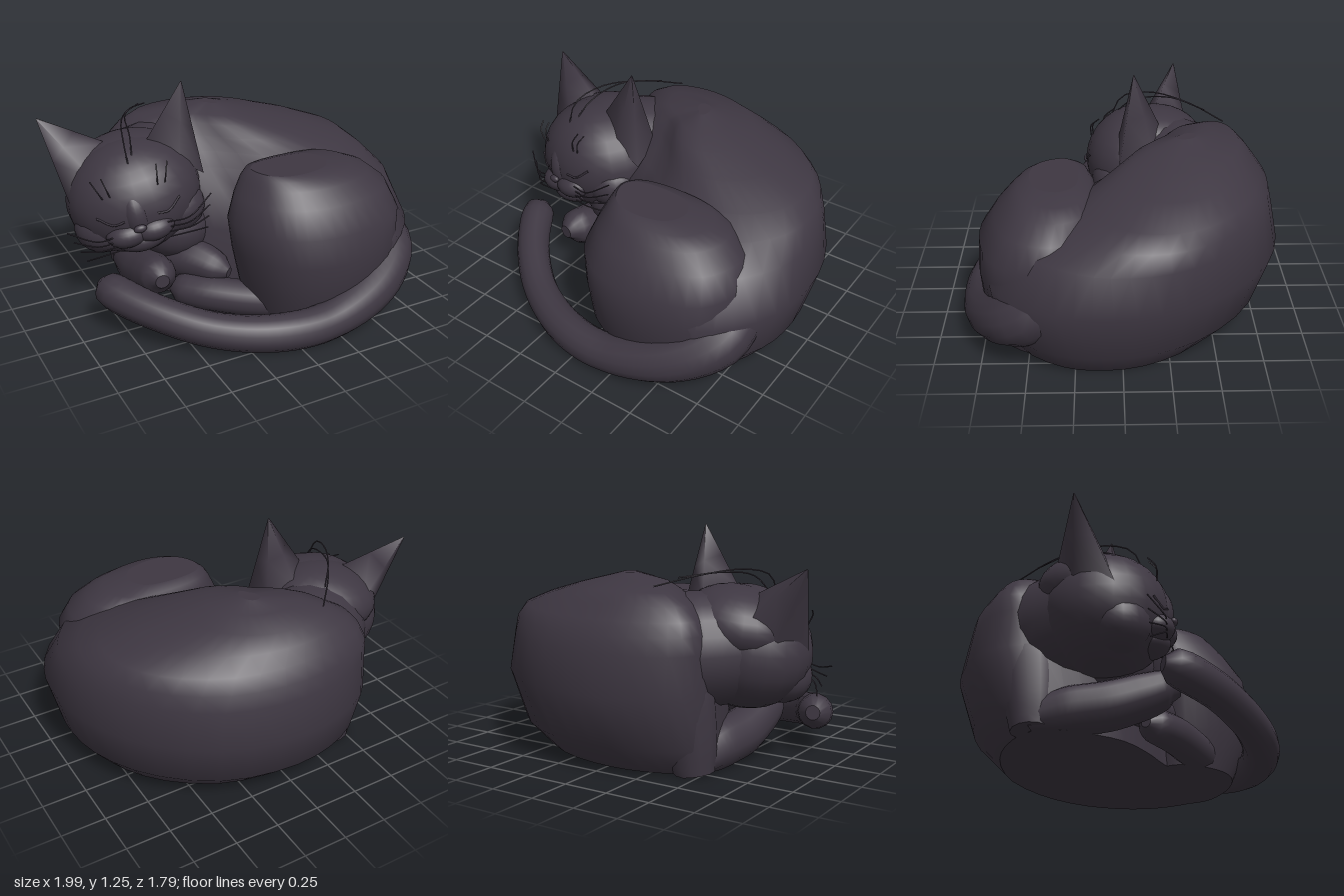
import * as THREE from 'three';

const V = (p) => new THREE.Vector3(p[0], p[1], p[2]);
const fur = new THREE.MeshStandardMaterial({ color: 0x3e3742 });
fur.name = 'dark fur';

// Closed skin over rings of points, with both ends capped
function skin(rings) {
  const n = rings[0].length, pos = [], idx = [];
  rings.forEach((r) => r.forEach((p) => pos.push(p.x, Math.max(p.y, 0), p.z)));
  for (let i = 0; i < rings.length - 1; i++) {
    for (let j = 0; j < n; j++) {
      const a = i * n + j, b = i * n + (j + 1) % n;
      idx.push(a, b, a + n, b, b + n, a + n);
    }
  }
  [0, rings.length - 1].forEach((k) => {
    // Caps keep their own corners so that their edges stay sharp
    const c = new THREE.Vector3(), start = pos.length / 3;
    rings[k].forEach((p) => {
      c.addScaledVector(p, 1 / n);
      pos.push(p.x, Math.max(p.y, 0), p.z);
    });
    pos.push(c.x, Math.max(c.y, 0), c.z);
    for (let j = 0; j < n; j++) {
      const a = start + j, b = start + (j + 1) % n;
      if (k === 0) idx.push(start + n, b, a); else idx.push(start + n, a, b);
    }
  });
  const g = new THREE.BufferGeometry();
  g.setAttribute('position', new THREE.Float32BufferAttribute(pos, 3));
  g.setIndex(idx);
  g.computeVertexNormals();
  return g;
}

// Stacks one [x, z] outline; each level is [y, minX, maxX, minZ, maxZ]
function loft(outline, levels) {
  const curve = new THREE.CatmullRomCurve3(outline.map(([x, z]) => new THREE.Vector3(x, 0, z)), true);
  const pts = curve.getPoints(40).slice(0, -1).reverse();
  const box = new THREE.Box3().setFromPoints(pts);
  const size = box.getSize(new THREE.Vector3());
  return skin(levels.map(([y, x0, x1, z0, z1]) => pts.map((p) => new THREE.Vector3(
    x0 + (x1 - x0) * (p.x - box.min.x) / size.x, y,
    z0 + (z1 - z0) * (p.z - box.min.z) / size.z))));
}

// Limb along points [x, y, z, radius]
function limb(points, steps = 30, sides = 14) {
  const curve = new THREE.CatmullRomCurve3(points.map(V));
  const f = curve.computeFrenetFrames(steps, false);
  const rings = [];
  for (let i = 0; i <= steps; i++) {
    const u = curve.getUtoTmapping(i / steps), c = curve.getPoint(u);
    const k = Math.min(Math.floor(u * (points.length - 1)), points.length - 2);
    const r = THREE.MathUtils.lerp(points[k][3], points[k + 1][3], u * (points.length - 1) - k);
    const ring = [];
    for (let j = 0; j < sides; j++) {
      const a = j / sides * Math.PI * 2;
      ring.push(c.clone().addScaledVector(f.normals[i], Math.cos(a) * r)
        .addScaledVector(f.binormals[i], Math.sin(a) * r));
    }
    rings.push(ring);
  }
  return skin(rings);
}

// Pointed ear: base corners, anticlockwise from above, drawn in to a small tip
function ear(base, tip) {
  const corners = base.map(V), end = V(tip);
  const rings = [0, 0.5, 0.98].map((t) => corners.map((p) => p.clone().lerp(end, t)));
  return skin(rings);
}

export function createModel() {
  const model = new THREE.Group();
  const add = (name, geo, parent = model) => {
    const m = new THREE.Mesh(geo, fur);
    m.name = name;
    parent.add(m);
    return m;
  };
  const ball = (name, parent, p, s) => {
    const m = add(name, new THREE.SphereGeometry(1, 24, 16), parent);
    m.position.set(...p);
    m.scale.set(...s);
  };
  const hair = (name, pts, parent = model, r = 0.004) =>
    add(name, new THREE.TubeGeometry(new THREE.CatmullRomCurve3(pts.map(V)), 14, r, 5), parent);

  // Curled body
  add('body', loft(
    [[-0.54, -0.58], [-0.47, -0.74], [-0.22, -0.87], [0.08, -0.9], [0.46, -0.8], [0.79, -0.52],
      [0.96, -0.2], [1, 0.1], [0.96, 0.34], [0.8, 0.6], [0.6, 0.71], [0.3, 0.6], [0, 0.25],
      [-0.2, 0.1], [-0.4, -0.1], [-0.5, -0.35]],
    [[0, -0.5, 0.82, -0.65, 0.6], [0.15, -0.54, 0.93, -0.8, 0.68], [0.43, -0.54, 1, -0.89, 0.71],
      [0.64, -0.54, 0.945, -0.85, 0.55], [0.73, -0.53, 0.88, -0.83, 0.35], [0.8, -0.5, 0.8, -0.78, 0.2],
      [0.87, -0.44, 0.6, -0.725, 0.06], [0.93, -0.34, 0.38, -0.67, -0.06],
      [0.965, -0.22, 0.24, -0.53, -0.16], [1, 0, 0.09, -0.42, -0.3]]));

  // Folded hind leg, with its foot pointing in under the chin
  add('thigh', loft(
    [[-0.17, 0.33], [-0.1, 0.21], [0.02, 0.15], [0.35, 0.12], [0.65, 0.18], [0.78, 0.4],
      [0.68, 0.66], [0.38, 0.77], [0.08, 0.74], [-0.09, 0.6]],
    [[0, -0.06, 0.68, 0.16, 0.68], [0.2, -0.11, 0.74, 0.15, 0.765], [0.4, -0.15, 0.79, 0.13, 0.78],
      [0.57, -0.17, 0.8, 0.12, 0.77], [0.7, -0.12, 0.75, 0.12, 0.685], [0.78, -0.08, 0.65, 0.14, 0.61],
      [0.82, -0.055, 0.55, 0.17, 0.56], [0.838, -0.03, 0.4, 0.23, 0.5]]));
  add('hindFoot', limb([[0.12, 0.09, 0.5, 0.1], [-0.08, 0.09, 0.38, 0.1], [-0.26, 0.1, 0.24, 0.1],
    [-0.37, 0.1, 0.12, 0.09], [-0.41, 0.1, 0.08, 0.03]], 16));

  // Tail growing out of the rump and wrapped around the front
  add('tail', limb([[0.5, 0.4, 0.05, 0.14], [0.71, 0.38, 0.34, 0.17], [0.73, 0.29, 0.52, 0.16],
    [0.55, 0.18, 0.69, 0.135], [0.2, 0.095, 0.79, 0.105], [-0.1, 0.09, 0.765, 0.102],
    [-0.4, 0.115, 0.63, 0.095], [-0.64, 0.175, 0.42, 0.095], [-0.78, 0.22, 0.22, 0.1],
    [-0.81, 0.235, 0.15, 0.09], [-0.82, 0.24, 0.1, 0.04]], 48));

  // Front legs and chest tucked under the head
  add('shoulder', limb([[-0.3, 0.6, -0.54, 0.18], [-0.37, 0.4, -0.52, 0.18], [-0.42, 0.13, -0.5, 0.14],
    [-0.44, 0, -0.5, 0.11]], 16));
  add('nearForeleg', limb([[-0.43, 0.06, -0.52, 0.1], [-0.47, 0.11, -0.32, 0.13], [-0.5, 0.14, -0.12, 0.13],
    [-0.51, 0.2, 0.06, 0.12], [-0.52, 0.24, 0.17, 0.1], [-0.53, 0.24, 0.24, 0.04]], 24));
  add('farForeleg', limb([[-0.35, 0.22, -0.1, 0.14], [-0.26, 0.24, 0.08, 0.12], [-0.18, 0.22, 0.21, 0.09],
    [-0.14, 0.21, 0.27, 0.03]], 14));
  ball('chest', model, [-0.32, 0.42, -0.08], [0.22, 0.2, 0.22]);

  // Neck and head, turned and tilted
  add('neck', limb([[-0.1, 0.58, -0.43, 0.3], [-0.34, 0.61, -0.36, 0.31], [-0.52, 0.62, -0.2, 0.29]], 10, 20));
  const head = new THREE.Group();
  head.name = 'head';
  head.position.set(-0.53, 0.62, -0.14);
  head.rotation.set(0, -0.26, 0.2, 'YXZ');
  model.add(head);
  ball('skull', head, [0, 0, 0], [0.38, 0.325, 0.335]);
  ball('crown', head, [0, 0.14, -0.08], [0.31, 0.19, 0.28]);
  ball('chin', head, [-0.02, -0.16, 0.21], [0.15, 0.08, 0.12]);
  ball('noseBridge', head, [-0.02, 0, 0.23], [0.09, 0.15, 0.12]);
  ball('nose', head, [-0.02, -0.05, 0.35], [0.035, 0.022, 0.02]);
  for (const s of [-1, 1]) {
    ball('muzzle', head, [s * 0.07 - 0.02, -0.1, 0.26], [0.12, 0.075, 0.1]);
    ball('cheek', head, [s * 0.2, -0.1, 0.09], [0.17, 0.15, 0.16]);
    hair('closedEye', [[s * 0.09, 0.0, 0.325], [s * 0.15, -0.012, 0.308], [s * 0.23, 0.035, 0.266]], head, 0.006);
    // Whiskers and brow hairs
    for (let i = 0; i < 4; i++) {
      const y = -0.07 - i * 0.03;
      hair('whisker', [[s * 0.13, y, 0.32], [s * 0.25, y - 0.005, 0.32],
        [s * (0.4 - i * 0.02), y + 0.06 - i * 0.035, 0.25]], head);
    }
    for (let i = 0; i < 2; i++) {
      hair('browHair', [[s * (0.13 + i * 0.04), 0.14, 0.28], [s * (0.14 + i * 0.05), 0.2, 0.28], [s * (0.15 + i * 0.06), 0.24, 0.24]], head);
    }
  }
  hair('longBrowHair', [[-0.62, 0.84, 0.05], [-0.62, 0.98, -0.02], [-0.56, 1.03, -0.2], [-0.42, 1.01, -0.42], [-0.26, 0.96, -0.6]]);
  hair('longBrowHair', [[-0.6, 0.86, 0.04], [-0.56, 0.98, -0.08], [-0.5, 1.02, -0.3], [-0.34, 1.0, -0.5]]);

  // Ears
  add('rightEar', ear([[-0.68, 0.78, -0.42], [-0.81, 0.66, -0.34], [-0.9, 0.62, -0.14],
    [-0.77, 0.76, -0.14], [-0.62, 0.9, -0.22]], [-0.99, 1.07, -0.36]));
  add('leftEar', ear([[-0.47, 0.92, -0.1], [-0.31, 0.82, 0.01], [-0.16, 0.72, 0],
    [-0.18, 0.78, -0.2], [-0.34, 0.86, -0.26]], [-0.25, 1.255, -0.08]));
  return model;
}
